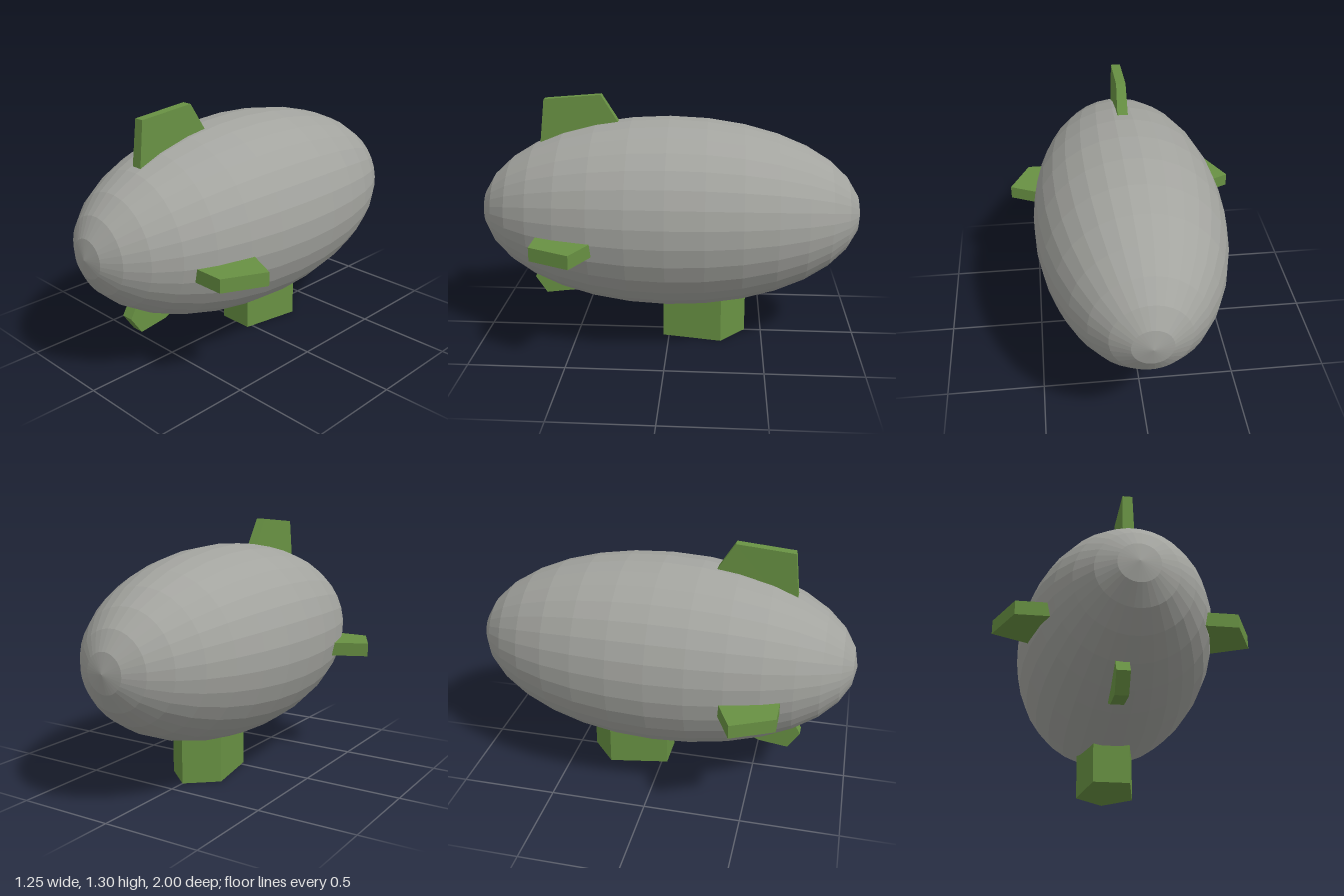
import * as THREE from 'three';

const hullGrey = new THREE.MeshStandardMaterial({ name: 'hullGrey', color: 0xa3a49f, flatShading: true });
const finGreen = new THREE.MeshStandardMaterial({ name: 'finGreen', color: 0x689143, flatShading: true });

// Prism from an outline, with its depth centred on the origin
function prism(points, depth) {
  const shape = new THREE.Shape(points.map(([a, b]) => new THREE.Vector2(a, b)));
  return new THREE.ExtrudeGeometry(shape, { depth, bevelEnabled: false }).translate(0, 0, -depth / 2);
}

// Outline given as (z, y), thickness along x
const uprightPrism = (points, depth) => prism(points, depth).rotateY(-Math.PI / 2);

// Outline given as (x, z), thickness along y
const flatPrism = (points, depth) => prism(points, depth).rotateX(Math.PI / 2);

export function createModel() {
  const group = new THREE.Group();
  group.name = 'airship';

  const add = (name, geometry, material, x = 0, y = 0, z = 0) => {
    const mesh = new THREE.Mesh(geometry, material);
    mesh.name = name;
    mesh.position.set(x, y, z);
    group.add(mesh);
    return mesh;
  };

  // Faceted ellipsoid envelope with its poles at nose and tail
  const hull = new THREE.SphereGeometry(1, 32, 16);
  hull.rotateY(Math.PI / 32).rotateX(Math.PI / 2).scale(0.5, 0.5, 1);
  add('hull', hull, hullGrey, 0, 0.688, 0);

  // Five-sided gondola, pointed toward the back
  const gondola = flatPrism([[-0.093, 0.03], [0.093, 0.03], [0.15, -0.28], [0, -0.41], [-0.15, -0.28]], 0.3);
  add('gondola', gondola, finGreen, 0, 0.15, 0);

  // Horizontal fins
  for (const [side, name] of [[1, 'leftFin'], [-1, 'rightFin']]) {
    const outline = [[0.3, 0.29], [0.625, 0.44], [0.522, 0.65], [0.3, 0.65]];
    add(name, flatPrism(outline.map(([x, z]) => [side * x, z]), 0.07), finGreen, 0, 0.615, 0);
  }

  // Top fin, slightly thinner at its upper edge
  const topFin = uprightPrism([[0.69, 0.92], [0.65, 1.278], [0.355, 1.303], [0.19, 1.04]], 0.06);
  const pos = topFin.attributes.position;
  for (let i = 0; i < pos.count; i++) {
    if (pos.getY(i) > 1.2) pos.setX(i, pos.getX(i) * 0.83);
  }
  topFin.computeVertexNormals();
  add('topFin', topFin, finGreen);

  // Small bottom fin, a little off centre
  const bottomFin = uprightPrism(
    [[0.66, 0.43], [0.747, 0.285], [0.685, 0.192], [0.53, 0.212], [0.4, 0.27], [0.48, 0.4]], 0.064);
  add('bottomFin', bottomFin, finGreen, -0.039, 0, 0);

  return group;
}
